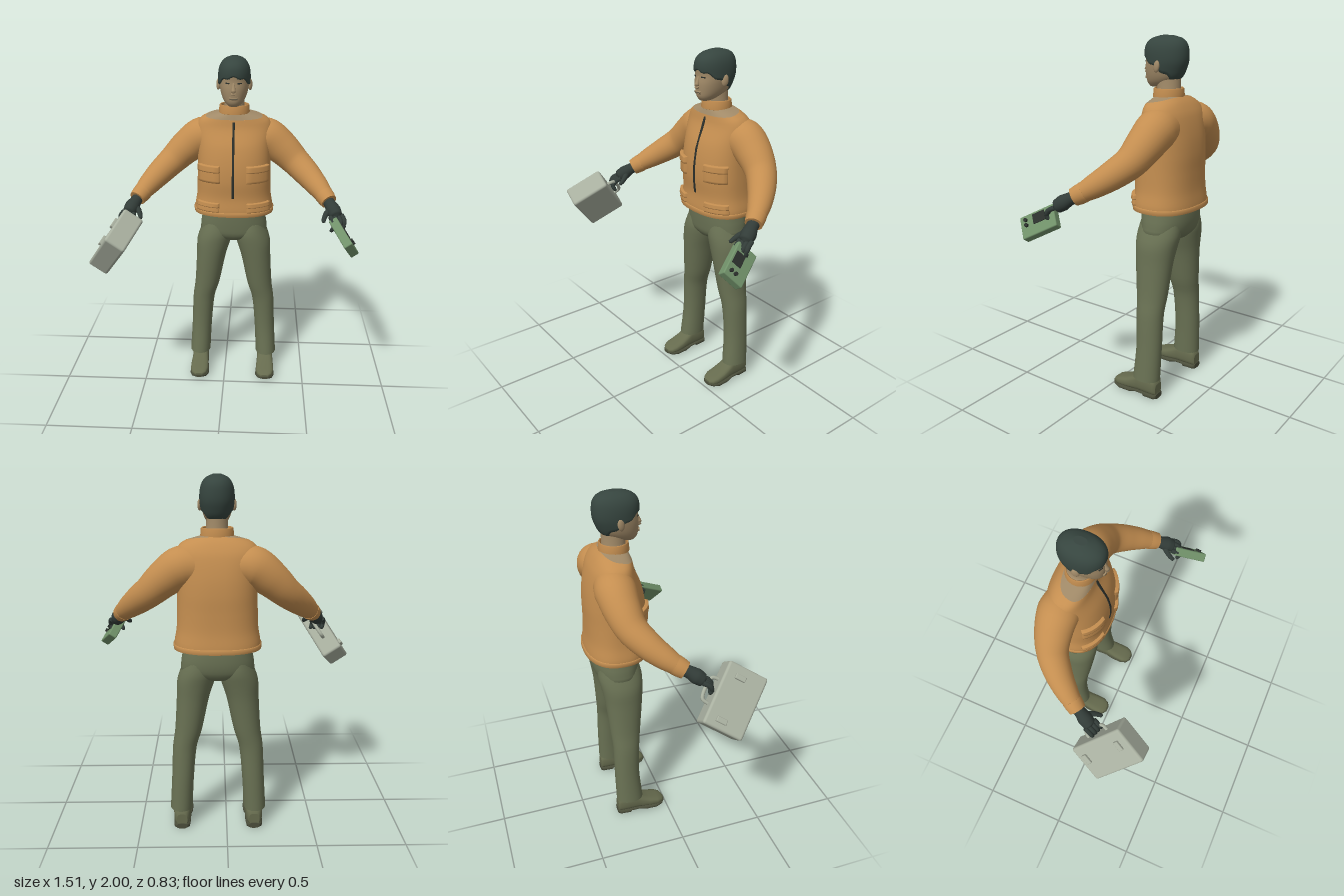
import * as THREE from 'three';
import { RoundedBoxGeometry } from 'three/addons/geometries/RoundedBoxGeometry.js';

const V = (x, y, z) => new THREE.Vector3(x, y, z);
const mat = (name, color, side = THREE.FrontSide) => {
  const m = new THREE.MeshStandardMaterial({ color, side });
  m.name = name;
  return m;
};
const lerp = THREE.MathUtils.lerp;
const spow = (v, p) => Math.sign(v) * Math.abs(v) ** p;

// Surface through rows of points; closed rows may be capped at both ends
function loft(rows, closed = true, caps = closed) {
  const pos = [], idx = [], n = rows[0].length;
  rows.forEach(r => r.forEach(p => pos.push(p.x, p.y, p.z)));
  for (let i = 0; i < rows.length - 1; i++)
    for (let j = 0; j < (closed ? n : n - 1); j++) {
      const a = i * n + j, b = i * n + (j + 1) % n;
      idx.push(a, b, b + n, a, b + n, a + n);
    }
  if (caps) [rows[0], rows[rows.length - 1]].forEach((r, end) => {
    const c = r.reduce((s, p) => s.add(p), V(0, 0, 0)).divideScalar(n), o = pos.length / 3;
    [...r, c].forEach(p => pos.push(p.x, p.y, p.z));
    for (let j = 0; j < n; j++) {
      const k = (j + 1) % n;
      end ? idx.push(o + n, o + j, o + k) : idx.push(o + n, o + k, o + j);
    }
  });
  const g = new THREE.BufferGeometry();
  g.setAttribute('position', new THREE.Float32BufferAttribute(pos, 3));
  g.setIndex(idx);
  g.computeVertexNormals();
  return g;
}

// Smooth upright form from rows [y, halfWidth, zFront, zBack, xCentre]; angle 0 faces +z
function form(rows, pow = 1, side = 1) {
  const slope = (i, k) => {
    const a = rows[Math.max(i - 1, 0)], b = rows[Math.min(i + 1, rows.length - 1)];
    return ((b[k] || 0) - (a[k] || 0)) / (b[0] - a[0]);
  };
  return (y, ang, off = 0) => {
    let i = 0;
    while (i < rows.length - 2 && y > rows[i + 1][0]) i++;
    const h = rows[i + 1][0] - rows[i][0], t = THREE.MathUtils.clamp((y - rows[i][0]) / h, 0, 1);
    const [rx, zf, zb, cx] = [1, 2, 3, 4].map(k => {
      const a = rows[i][k] || 0, b = rows[i + 1][k] || 0;
      return a + (b - a) * t * t * (3 - 2 * t)
        + h * t * (1 - t) * ((1 - t) * slope(i, k) - t * slope(i + 1, k));
    });
    return V(side * cx + (rx + off) * spow(Math.sin(ang), pow), y,
      (zf + zb) / 2 + ((zf - zb) / 2 + off) * spow(Math.cos(ang), pow));
  };
}
const range = (n, f) => Array.from({ length: n }, (_, i) => f(i));
const ring = (f, n = 36) => range(n, j => f(j / n * Math.PI * 2));
const solid = (surf, y0, y1, steps = 24) =>
  loft(range(steps + 1, i => ring(a => surf(lerp(y0, y1, i / steps), a))));

// Raised patch lying on a form
function patch(surf, y0, y1, a0, a1, off) {
  const us = [0, 0.04, 0.2, 0.4, 0.6, 0.8, 0.96, 1];
  return loft(us.map(v => us.map(u => surf(lerp(y0, y1, v), lerp(a0, a1, u),
    u % 1 && v % 1 ? off : -0.002))), false);
}

// Round limb along points [x, y, z, radius], mirrored by side
function limb(pts, side = 1, steps = 16, n = 18) {
  const curve = new THREE.CatmullRomCurve3(pts.map(p => V(p[0] * side, p[1], p[2])));
  return loft(range(steps + 1, i => {
    const t = i / steps, f = t * (pts.length - 1), k = Math.min(Math.floor(f), pts.length - 2);
    const r = lerp(pts[k][3], pts[k + 1][3], f - k), T = curve.getTangent(t);
    const u = V(0, 1, 0).cross(T).normalize(), w = T.clone().cross(u), c = curve.getPoint(t);
    return ring(a => c.clone().addScaledVector(u, r * Math.cos(a)).addScaledVector(w, r * Math.sin(a)), n);
  }));
}

// Group turned so that its x and y axes follow two directions
function aligned(name, x, y, centre) {
  const g = new THREE.Group();
  const z = x.clone().cross(y).normalize();
  x.normalize();
  g.quaternion.setFromRotationMatrix(new THREE.Matrix4().makeBasis(x, z.clone().cross(x), z));
  g.position.copy(centre);
  g.name = name;
  return g;
}

export function createModel() {
  const root = new THREE.Group(), body = new THREE.Group();
  root.name = 'standingMan';
  body.name = 'body';
  body.position.x = 0.05;
  root.add(body);
  const orange = mat('jacketOrange', 0xc48e50, THREE.DoubleSide), olive = mat('trouserOlive', 0x6a7254);
  const skin = mat('skin', 0xa18a68, THREE.DoubleSide), hair = mat('hair', 0x36453f, THREE.DoubleSide);
  const glove = mat('gloveDark', 0x323c38), boot = mat('bootOlive', 0x666b4e);
  const sole = mat('soleDark', 0x4a4d3a), grey = mat('caseGrey', 0xa9b0a0);
  const green = mat('deviceGreen', 0x71926a), dark = mat('darkDetail', 0x2b302c, THREE.DoubleSide);
  const add = (name, geo, m, parent = body) => {
    const mesh = new THREE.Mesh(geo, m);
    mesh.name = name;
    parent.add(mesh);
    return mesh;
  };

  // Jacket body with a neckline that dips at the front
  const torso = form([[1.09, 0.232, -0.072, -0.412], [1.12, 0.234, -0.07, -0.411], [1.2, 0.221, -0.075, -0.402],
    [1.3, 0.217, -0.066, -0.4], [1.4, 0.215, -0.07, -0.4], [1.5, 0.216, -0.09, -0.39], [1.6, 0.222, -0.13, -0.365],
    [1.65, 0.195, -0.14, -0.338], [1.675, 0.15, -0.145, -0.318], [1.69, 0.115, -0.15, -0.3]], 0.84);
  const neckY = a => 1.671 - 0.019 * Math.cos(a);
  add('jacket', loft(range(37, i => ring(a => torso(lerp(1.09, neckY(a), i / 36), a), 48))), orange);
  add('hemBand', loft([[1.088, 0], [1.09, 0.006], [1.112, 0.006], [1.116, 0]].map(([y, o]) =>
    ring(a => torso(y, a, o), 48)), true, false), orange);
  add('zip', patch(torso, 1.2, 1.645, -0.016, 0.016, 0.004), dark);
  for (const s of [-1, 1]) {
    const pocket = (name, y0, y1, off) =>
      add(name, patch(torso, y0, y1, s > 0 ? 0.28 : -1.1, s > 0 ? 1.1 : -0.28, off), orange);
    pocket('chestPocket', 1.295, 1.375, 0.011);
    pocket('pocketFlap', 1.36, 1.4, 0.018);
    pocket('hemPocket', 1.118, 1.155, 0.01);
    pocket('hemPocketFlap', 1.148, 1.175, 0.016);
  }

  // Neck and stand-up collar
  const neck = form([[1.69, 0.066, -0.155, -0.29], [1.72, 0.058, -0.155, -0.285], [1.79, 0.056, -0.15, -0.285]]);
  add('neck', loft([...range(4, i => ring(a => torso(neckY(a), a).lerp(neck(1.695, a), i / 3))),
    ring(a => neck(1.73, a)), ring(a => neck(1.79, a))], true, false), skin);
  const collar = form([[1.68, 0.086, -0.14, -0.3], [1.732, 0.081, -0.145, -0.295]]);
  add('collar', loft([[1.682, 0], [1.684, 0.004], [1.728, 0.004], [1.732, 0], [1.728, -0.005], [1.684, -0.005]]
    .map(([y, o]) => ring(a => collar(y, a, o))), true, false), orange);

  // Head, hair and face
  const head = form([[1.734, 0.028, -0.108, -0.17], [1.752, 0.05, -0.092, -0.235], [1.785, 0.069, -0.086, -0.285],
    [1.83, 0.081, -0.083, -0.31], [1.87, 0.086, -0.087, -0.322], [1.92, 0.083, -0.084, -0.322],
    [1.955, 0.071, -0.096, -0.312], [1.98, 0.048, -0.13, -0.285], [1.993, 0.016, -0.18, -0.235]], 0.93);
  add('head', solid(head, 1.734, 1.993), skin);
  const hairline = a => 1.828 + 0.066 * Math.cos(a) + 0.006 * Math.cos(9 * a);
  add('hair', loft(range(21, i => ring(a => {
    const p = head(lerp(hairline(a), 1.993, i / 20), a, i ? 0.006 : -0.002);
    p.y += 0.007 * i / 20;
    return p;
  }, 48))), hair);
  add('nose', limb([[0, 1.868, -0.092, 0.006], [0, 1.84, -0.084, 0.01], [0, 1.815, -0.078, 0.015],
    [0, 1.805, -0.087, 0.008]], 1, 10), skin);
  add('lips', patch(head, 1.773, 1.789, -0.32, 0.32, 0.007), skin);
  add('mouth', patch(head, 1.780, 1.7825, -0.3, 0.3, 0.0085), dark);
  for (const s of [-1, 1]) {
    const at = (a, b) => s > 0 ? [a, b] : [-b, -a];
    add('eye', patch(head, 1.862, 1.869, ...at(0.24, 0.52), 0.003), dark);
    add('eyebrow', patch(head, 1.888, 1.894, ...at(0.2, 0.6), 0.003), hair);
    const ear = add('ear', new THREE.SphereGeometry(1, 16, 12), skin);
    ear.scale.set(0.011, 0.032, 0.02);
    ear.position.set(s * 0.09, 1.845, -0.2);
    ear.rotation.set(-0.15, s * -0.3, 0);
  }

  // Trousers: hips and two legs
  const hips = form([[0.92, 0.09, -0.14, -0.335], [0.95, 0.19, -0.118, -0.362], [1.0, 0.2, -0.11, -0.377],
    [1.06, 0.191, -0.106, -0.38], [1.12, 0.18, -0.105, -0.375]], 0.88);
  add('hips', solid(hips, 0.92, 1.12, 12), olive);
  const legRows = [[0.11, 0.064, -0.15, -0.312, 0.214], [0.3, 0.063, -0.165, -0.315, 0.203],
    [0.5, 0.068, -0.158, -0.315, 0.188], [0.6, 0.076, -0.145, -0.322, 0.166], [0.8, 0.091, -0.122, -0.338, 0.138],
    [0.9, 0.104, -0.113, -0.354, 0.12], [0.96, 0.1, -0.112, -0.365, 0.105], [1.02, 0.08, -0.125, -0.36, 0.1]];

  // Boots as [z, halfWidth, bottom, top]
  const upper = [[-0.308, 0.03, 0.02, 0.09], [-0.295, 0.045, 0.02, 0.125], [-0.24, 0.05, 0.02, 0.135],
    [-0.19, 0.05, 0.02, 0.13], [-0.155, 0.052, 0.02, 0.105], [-0.11, 0.056, 0.02, 0.083],
    [-0.06, 0.056, 0.02, 0.068], [-0.03, 0.044, 0.022, 0.056], [-0.016, 0.022, 0.026, 0.044]];
  const under = [[-0.312, 0.03, 0, 0.032], [-0.3, 0.045, 0, 0.032], [-0.235, 0.05, 0, 0.032],
    [-0.23, 0.049, 0.014, 0.032], [-0.18, 0.05, 0.014, 0.032], [-0.14, 0.057, 0.002, 0.03],
    [-0.07, 0.06, 0.002, 0.03], [-0.03, 0.047, 0.01, 0.032], [-0.01, 0.022, 0.018, 0.034]];
  const shoe = (rows, x) => loft(rows.map(([z, w, b, t]) => ring(a =>
    V(x + w * spow(Math.cos(a), 0.7), (b + t) / 2 + (t - b) / 2 * spow(Math.sin(a), 0.7), z), 24)));

  // Sleeves, gloved hands, legs and boots on both sides
  for (const s of [-1, 1]) {
    add('leg', solid(form(legRows, 0.95, s), 0.11, 1.02, 30), olive);
    add('boot', shoe(upper, s * 0.21), boot);
    add('bootSole', shoe(under, s * 0.21), sole);
    add('sleeve', limb([[0.1, 1.535, -0.265, 0.1], [0.19, 1.53, -0.268, 0.112], [0.28, 1.468, -0.26, 0.1],
      [0.36, 1.395, -0.235, 0.085], [0.435, 1.33, -0.172, 0.075], [0.495, 1.275, -0.1, 0.062],
      [0.545, 1.224, -0.025, 0.044]], s, 32, 28), orange);
    add('cuff', limb([[0.522, 1.247, -0.06, 0.054], [0.536, 1.233, -0.038, 0.052],
      [0.55, 1.219, -0.015, 0.047]], s, 4, 24), orange);
    add('palm', limb([[0.542, 1.225, -0.03, 0.032], [0.556, 1.208, 0.005, 0.034], [0.572, 1.186, 0.038, 0.042],
      [0.585, 1.165, 0.068, 0.036], [0.589, 1.158, 0.08, 0.012]], s), glove);
    for (let i = 0; i < 4; i++) {
      const o = (i - 1.5) * 0.021, x = 0.585 + o, y = 1.163 + o * 0.1, z = 0.068 - o * 0.35;
      add('finger', limb([[x, y, z, 0.013], [x + 0.012, y - 0.018, z + 0.034, 0.0135],
        [x + 0.012, y - 0.048, z + 0.046, 0.012], [x + 0.004, y - 0.068, z + 0.036, 0.01],
        [x + 0.002, y - 0.072, z + 0.032, 0.002]], s, 12, 10), glove);
    }
    add('thumb', limb([[0.555, 1.19, 0.03, 0.017], [0.53, 1.172, 0.06, 0.016], [0.517, 1.152, 0.09, 0.013],
      [0.514, 1.142, 0.108, 0.01], [0.514, 1.139, 0.112, 0.002]], s, 12, 10), glove);
  }

  // Carry case held on the right
  const box = aligned('carryCase', V(-0.08, -0.11, 0.185), V(0.155, 0.235, 0.21), V(-0.59, 1.037, 0.215));
  root.add(box);
  add('caseShell', new RoundedBoxGeometry(0.232, 0.353, 0.122, 3, 0.014), grey, box);
  for (const y of [-0.125, 0.115]) {
    add('latch', new RoundedBoxGeometry(0.06, 0.03, 0.018, 2, 0.005), grey, box).position.set(-0.03, y, 0.066);
  }
  const grip = new THREE.CatmullRomCurve3([V(-0.11, -0.07, 0), V(-0.148, -0.062, 0), V(-0.158, -0.04, 0),
    V(-0.158, 0.04, 0), V(-0.148, 0.062, 0), V(-0.11, 0.07, 0)]);
  add('caseHandle', new THREE.TubeGeometry(grip, 30, 0.01, 10), grey, box);

  // Hand-held device on the left
  const device = aligned('handDevice', V(0.075, -0.09, 0.165), V(0.06, -0.1, -0.08), V(0.675, 1.07, 0.153));
  root.add(device);
  add('deviceBody', new RoundedBoxGeometry(0.205, 0.128, 0.05, 2, 0.007), green, device);
  add('deviceScreen', new THREE.BoxGeometry(0.072, 0.056, 0.006), dark, device).position.set(-0.012, -0.022, 0.026);
  for (const y of [-0.034, -0.004]) {
    const b = add('deviceButton', new THREE.CylinderGeometry(0.01, 0.01, 0.014, 16), dark, device);
    b.rotation.x = Math.PI / 2;
    b.position.set(0.066, y, 0.03);
  }
  return root;
}
